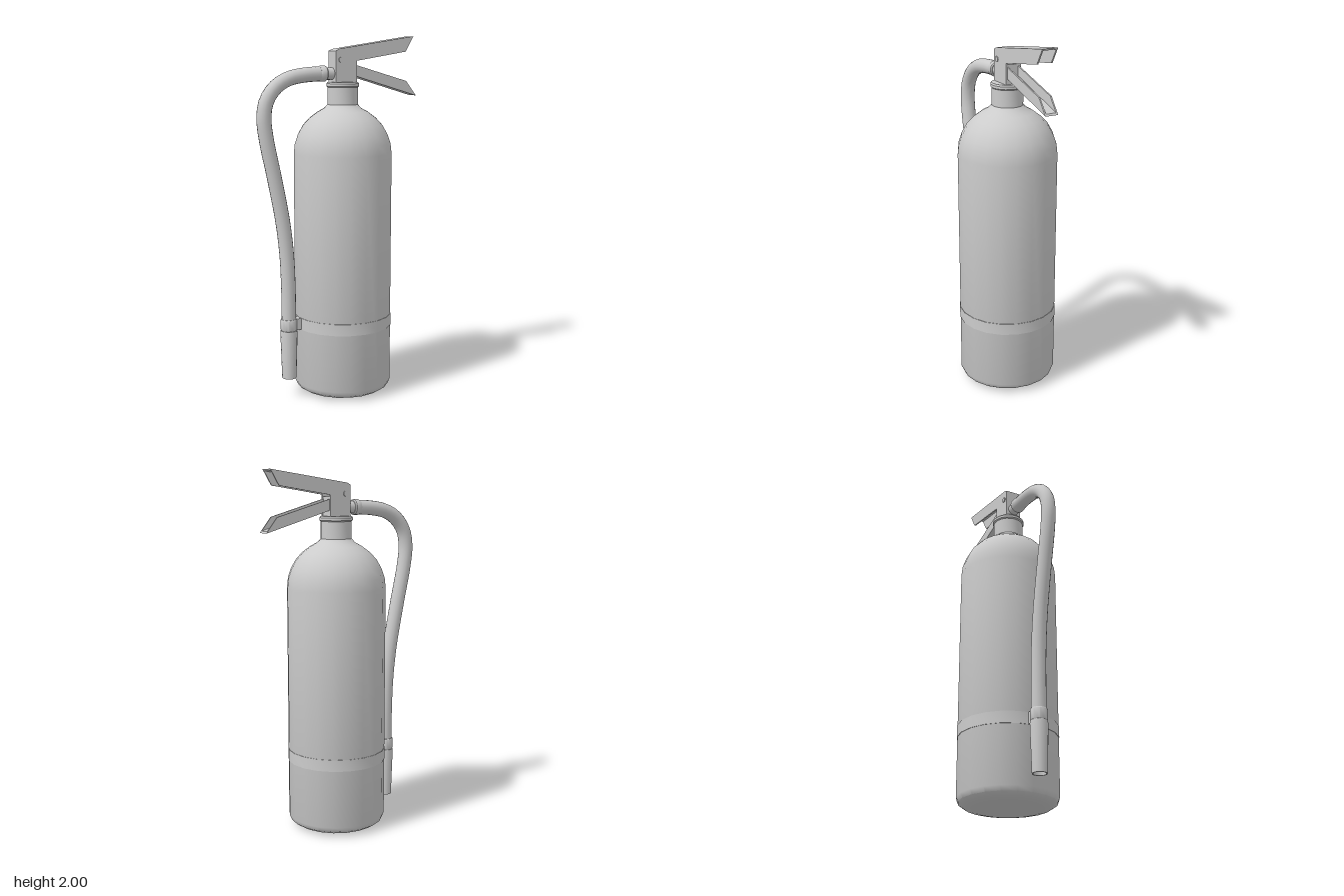
import * as THREE from 'three';
import { toCreasedNormals } from 'three/addons/utils/BufferGeometryUtils.js';

const CX = 0.03; // cylinder axis
const CZ = -0.005; // centre plane
const HOSE_X = -0.307;

export function createModel() {
  const model = new THREE.Group();
  const grey = new THREE.MeshStandardMaterial({ color: 0xcccccc, side: THREE.DoubleSide });

  const add = (name, geometry, x = 0, y = 0, z = CZ) => {
    const mesh = new THREE.Mesh(geometry, grey);
    mesh.name = name;
    mesh.position.set(x, y, z);
    model.add(mesh);
    return mesh;
  };
  const lathe = (points, sides) => toCreasedNormals(
    new THREE.LatheGeometry(points.map(([r, y]) => new THREE.Vector2(r, y)), sides), 0.6);
  // side-on outline extruded to a depth centred on z
  const plate = (points, depth) => {
    const shape = new THREE.Shape(points.map(([x, y]) => new THREE.Vector2(x, y)));
    return new THREE.ExtrudeGeometry(shape, { depth, bevelEnabled: false }).translate(0, 0, -depth / 2);
  };
  // folded sheet channel: two side plates joined by a thin web
  const channel = (name, outline, web, width, t) => {
    for (const s of [-1, 1]) add(name + 'Side', plate(outline, t), 0, 0, CZ + s * (width - t) / 2);
    add(name + 'Web', plate(web, width - 2 * t));
  };

  // Tank with rounded foot, domed shoulder and neck
  add('tank', lathe([
    [0, 0.004], [0.19, 0.008], [0.235, 0.018], [0.262, 0.036], [0.273, 0.062],
    [0.273, 1.36], [0.267, 1.415], [0.25, 1.465], [0.222, 1.515], [0.185, 1.555],
    [0.14, 1.588], [0.105, 1.607], [0.085, 1.628], [0.085, 1.74], [0, 1.74],
  ], 20), CX);
  add('neckCollar', lathe([
    [0, 1.722], [0.085, 1.722], [0.091, 1.728], [0.091, 1.742], [0.085, 1.75], [0, 1.75],
  ], 20), CX);
  add('strap', lathe([
    [0.272, 0.385], [0.2755, 0.385], [0.2755, 0.45], [0.272, 0.45],
  ], 20), CX);

  // Valve block and carrying handle, open underneath
  add('valveBlock', new THREE.BoxGeometry(0.115, 0.12, 0.076), 0.034, 1.795);
  channel('carryHandle', [
    [-0.035, 1.745], [0.095, 1.745], [0.095, 1.865], [0.405, 1.915], [0.455, 2], [-0.012, 1.929], [-0.035, 1.918],
  ], [
    [-0.035, 1.745], [-0.025, 1.745], [-0.025, 1.912], [-0.01, 1.92], [0.449, 1.99], [0.455, 2], [-0.012, 1.929], [-0.035, 1.918],
  ], 0.09, 0.008);

  // Squeeze lever, open on top
  channel('squeezeLever', [
    [0.03, 1.8], [0.48, 1.67], [0.415, 1.752], [0.03, 1.86],
  ], [
    [0.03, 1.8], [0.48, 1.67], [0.472, 1.68], [0.03, 1.81],
  ], 0.074, 0.008);

  // Pivot pin through the handle
  add('pivotPin', new THREE.CylinderGeometry(0.015, 0.015, 0.1, 12).rotateX(Math.PI / 2), -0.003, 1.87);

  // Hose fitting
  add('hoseFitting', new THREE.CylinderGeometry(0.033, 0.033, 0.07, 16).rotateZ(Math.PI / 2), -0.062, 1.796);
  add('hoseFerrule', lathe([
    [0, -0.02], [0.037, -0.02], [0.043, -0.014], [0.043, 0.014], [0.04, 0.02], [0, 0.02],
  ], 16).rotateZ(Math.PI / 2), -0.095, 1.796);

  // Hose arching over and down beside the tank
  const path = new THREE.CatmullRomCurve3([
    [-0.1, 1.796], [-0.2, 1.79], [-0.3, 1.77], [-0.375, 1.725], [-0.425, 1.655], [-0.441, 1.57],
    [-0.43, 1.46], [-0.386, 1.25], [-0.338, 1], [-0.316, 0.81], [-0.308, 0.62], [HOSE_X, 0.36],
  ].map(([x, y]) => new THREE.Vector3(x, y, 0)));
  add('hose', new THREE.TubeGeometry(path, 48, 0.04, 16));

  // Nozzle with a hollow mouth
  add('nozzle', lathe([
    [0, 0.2], [0.032, 0.2], [0.034, 0.11], [0.04, 0.11], [0.048, 0.37], [0.046, 0.385], [0, 0.385],
  ], 16), HOSE_X);

  // Clip holding the hose to the strap
  add('hoseClip', lathe([
    [0, 0.385], [0.043, 0.385], [0.046, 0.39], [0.046, 0.445], [0.043, 0.45], [0, 0.45],
  ], 16), HOSE_X);
  add('clipBracket', new THREE.BoxGeometry(0.06, 0.064, 0.05), -0.258, 0.418);

  return model;
}
